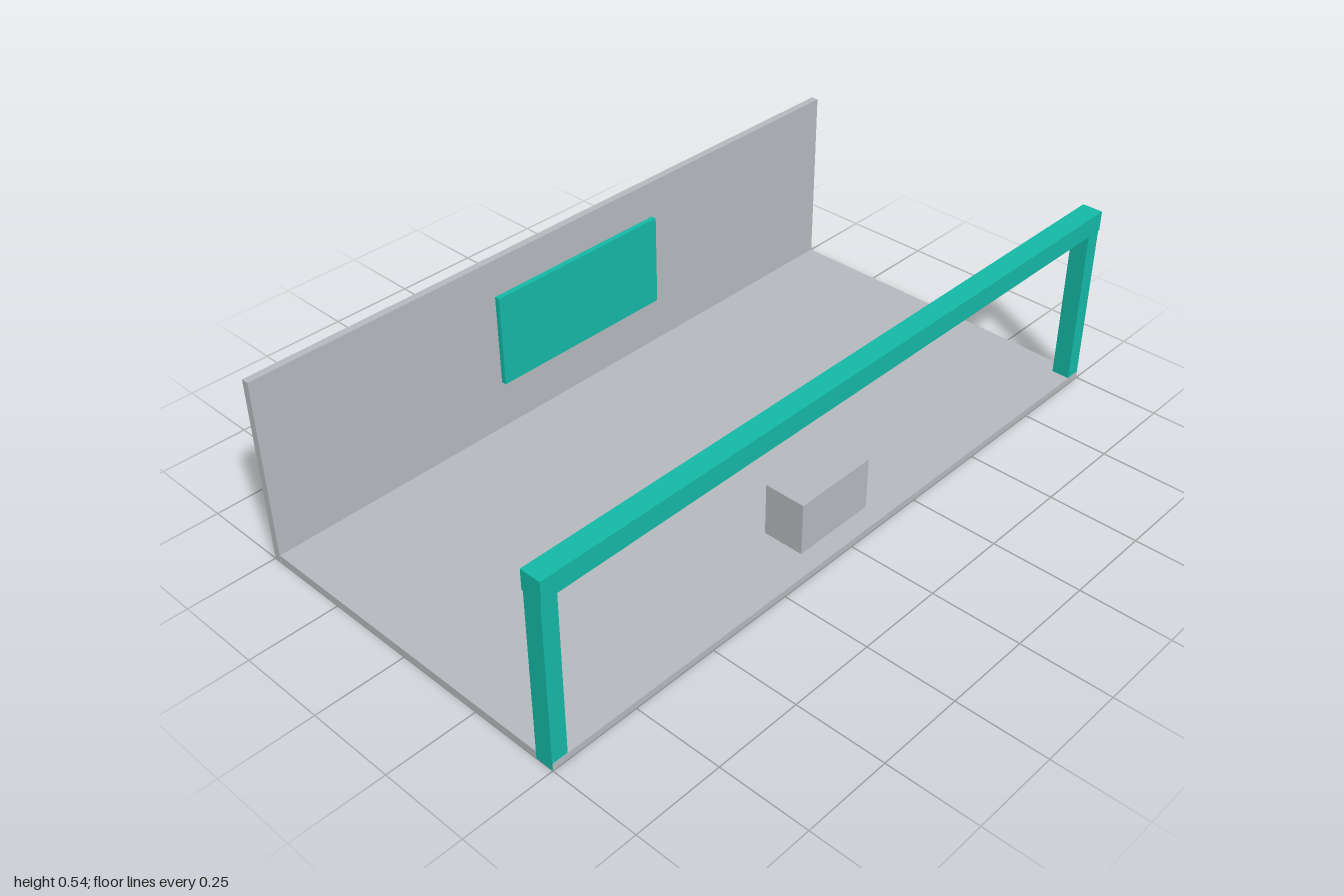
import * as THREE from 'three';

const grey = new THREE.MeshStandardMaterial({ name: 'light grey', color: 0xb5b8be });
const teal = new THREE.MeshStandardMaterial({ name: 'teal', color: 0x14b8a6 });
const dark = new THREE.MeshStandardMaterial({ name: 'dark slate', color: 0x1f2937 });

// Box from its lower and upper limits on each axis
function block(name, material, [x0, x1], [y0, y1], [z0, z1]) {
  const mesh = new THREE.Mesh(new THREE.BoxGeometry(x1 - x0, y1 - y0, z1 - z0), material);
  mesh.position.set((x0 + x1) / 2, (y0 + y1) / 2, (z0 + z1) / 2);
  mesh.name = name;
  return mesh;
}

export function createModel() {
  const booth = new THREE.Group();
  booth.name = 'exhibitionBooth';

  // Floor slab and back wall
  booth.add(block('floor', grey, [-0.999, 0.999], [0.001, 0.02], [-0.499, 0.5]));
  booth.add(block('backWall', grey, [-1, 1], [0, 0.535], [-0.5, -0.479]));

  // Front portal: two posts under a slightly deeper beam
  const portal = new THREE.Group();
  portal.name = 'frontPortal';
  for (const side of [-1, 1]) {
    const post = block('post', teal, [0.955, 1], [0, 0.48], [0.448, 0.499]);
    post.position.x *= side;
    post.name = side > 0 ? 'leftPost' : 'rightPost';
    portal.add(post);
  }
  portal.add(block('beam', teal, [-1, 1], [0.479, 0.535], [0.444, 0.502]));
  booth.add(portal);

  // Reception counter standing just behind the portal
  booth.add(block('counter', grey, [-0.125, 0.125], [0.019, 0.171], [0.325, 0.443]));

  // Display panel with its smaller dark backing, just clear of the wall
  const display = new THREE.Group();
  display.name = 'wallDisplay';
  display.add(block('displayPanel', teal, [-0.283, 0.283], [0.178, 0.442], [-0.462, -0.447]));
  display.add(block('displayBacking', dark, [-0.27, 0.27], [0.192, 0.428], [-0.472, -0.462]));
  booth.add(display);

  return booth;
}
